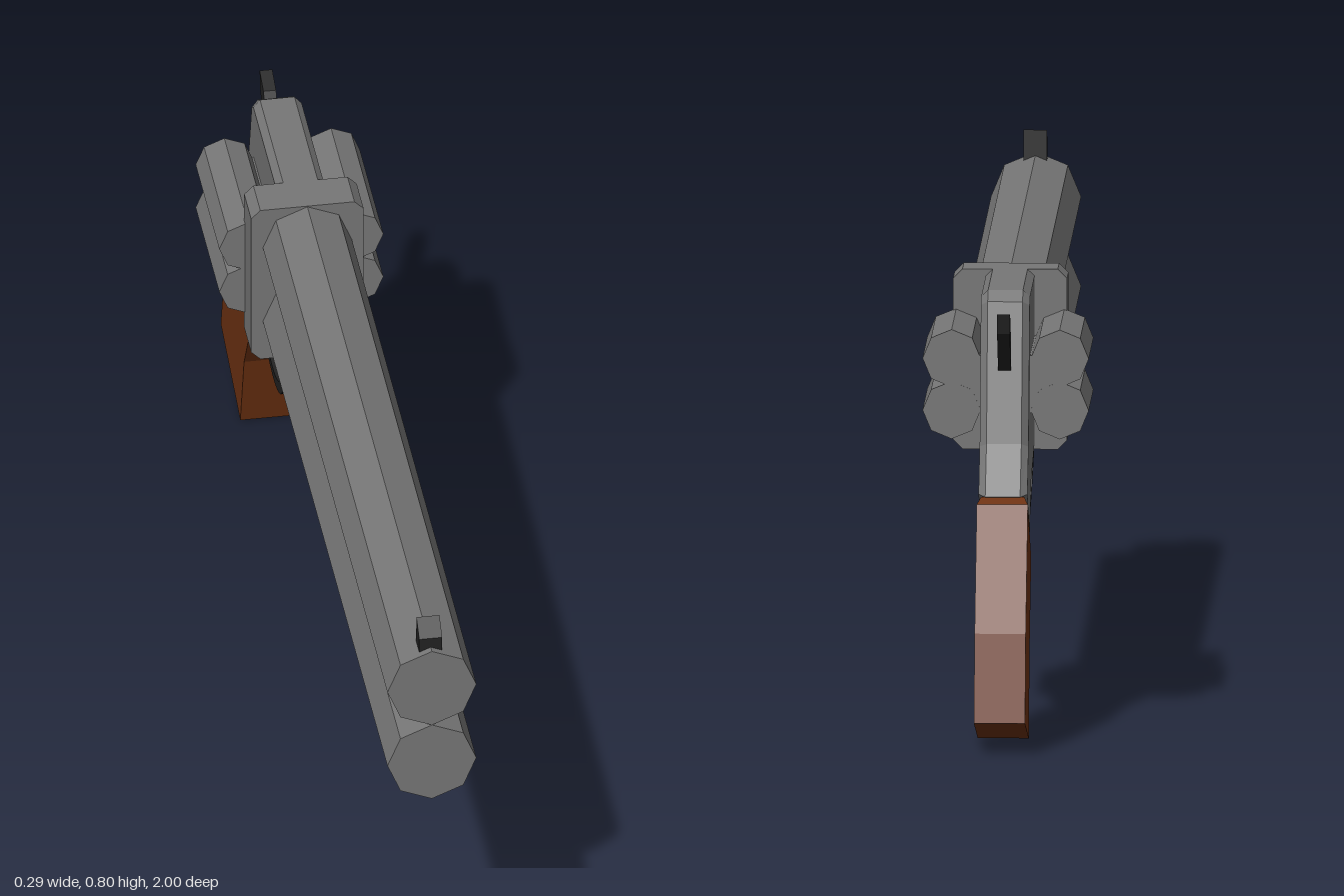
import * as THREE from 'three';

const mat = (color) => new THREE.MeshStandardMaterial({ color, flatShading: true });

export function createModel() {
  const model = new THREE.Group();
  const steel = mat(0x777777), dark = mat(0x222222), wood = mat(0x6e3212);

  const add = (name, geometry, material) => {
    const mesh = new THREE.Mesh(geometry, material);
    mesh.name = name;
    model.add(mesh);
    return mesh;
  };

  const shapeOf = (points) => new THREE.Shape(points.map(([a, b]) => new THREE.Vector2(a, b)));

  // Side profile given as [z, y], extruded across x and centred
  const sidePlate = (points, width, bevel = 0) => {
    const g = new THREE.ExtrudeGeometry(shapeOf(points), {
      depth: width - 2 * bevel, bevelEnabled: bevel > 0, bevelSegments: 1,
      bevelSize: bevel, bevelThickness: bevel, bevelOffset: -bevel,
    });
    g.translate(0, 0, -(width - 2 * bevel) / 2);
    return g.rotateY(-Math.PI / 2);
  };

  // Eight-sided bar along z with a corner pointing up
  const bar = (name, x, y, radius, zBack, zFront) => {
    const g = new THREE.CylinderGeometry(radius, radius, zFront - zBack, 8);
    g.rotateX(Math.PI / 2);
    add(name, g, steel).position.set(x, y, (zBack + zFront) / 2);
  };

  // Stacked barrels
  bar('upperBarrel', 0, 0.686, 0.0775, -0.36, 1);
  bar('lowerBarrel', 0, 0.531, 0.0775, -0.36, 1);

  // Chambers showing on both sides of the frame
  for (const side of [-1, 1]) {
    for (const y of [0.645, 0.555]) bar('chamber', side * 0.093, y, 0.05, -0.66, -0.405);
  }
  // Drum core behind the chambers
  const core = new THREE.BoxGeometry(0.18, 0.1, 0.25);
  add('drumCore', core, steel).position.set(0, 0.6, -0.534);

  // Block joining the barrels and the frame, with cut corners
  const w = 0.098, lo = 0.452, hi = 0.765, c = 0.016;
  const block = new THREE.ExtrudeGeometry(shapeOf([
    [-w + c, lo], [w - c, lo], [w, lo + c], [w, hi - c],
    [w - c, hi], [-w + c, hi], [-w, hi - c], [-w, lo + c],
  ]), { depth: 0.075, bevelEnabled: false });
  add('barrelBlock', block, steel).position.z = -0.415;

  // Frame running back and down into the grip
  add('frame', sidePlate([
    [-0.35, 0.765], [-0.665, 0.765], [-0.69, 0.748], [-0.755, 0.51],
    [-0.825, 0.428], [-0.668, 0.33], [-0.605, 0.412], [-0.41, 0.453], [-0.35, 0.453],
  ], 0.084, 0.012), steel);

  // Grip lofted through four sections: front z, front y, back z, back y, half width
  const sections = [
    [-0.668, 0.33, -0.822, 0.428, 0.037],
    [-0.663, 0.3, -0.845, 0.418, 0.044],
    [-0.75, 0.155, -0.96, 0.21, 0.044],
    [-0.79, 0.004, -1, 0.06, 0.044],
  ];
  const pos = [], index = [];
  for (const [fz, fy, bz, by, h] of sections) {
    pos.push(-h, fy, fz, h, fy, fz, h, by, bz, -h, by, bz);
  }
  for (let s = 0; s < sections.length - 1; s++) {
    for (let k = 0; k < 4; k++) {
      const a = s * 4 + k, b = s * 4 + (k + 1) % 4;
      index.push(a, a + 4, b, b, a + 4, b + 4);
    }
  }
  const e = (sections.length - 1) * 4;
  index.push(0, 1, 2, 0, 2, 3, e, e + 2, e + 1, e, e + 3, e + 2);
  const grip = new THREE.BufferGeometry();
  grip.setAttribute('position', new THREE.Float32BufferAttribute(pos, 3));
  grip.setIndex(index);
  grip.computeVertexNormals();
  add('grip', grip, wood);

  // Trigger guard: a strip bent into an arc, narrowing toward the bottom
  const arc = [];
  const cz = -0.515, cy = 0.44, n = 18;
  const from = -Math.PI + 0.4, to = 0.15;
  for (const [radius, flip] of [[0.156, false], [0.134, true]]) {
    for (let i = 0; i <= n; i++) {
      const t = flip ? n - i : i;
      const angle = from + (to - from) * t / n;
      arc.push([cz + radius * Math.cos(angle), cy + radius * Math.sin(angle)]);
    }
  }
  const guard = sidePlate(arc, 2);
  const p = guard.attributes.position;
  for (let i = 0; i < p.count; i++) {
    const drop = THREE.MathUtils.clamp((0.45 - p.getY(i)) / 0.17, 0, 1);
    p.setX(i, p.getX(i) * (0.04 - 0.009 * drop));
  }
  guard.computeVertexNormals();
  add('triggerGuard', guard, dark);

  // Trigger, hammer and front sight
  add('trigger', sidePlate([
    [-0.48, 0.335], [-0.518, 0.346], [-0.595, 0.425], [-0.53, 0.44],
  ], 0.026), dark);
  add('hammer', sidePlate([
    [-0.69, 0.66], [-0.715, 0.675], [-0.745, 0.725], [-0.786, 0.74],
    [-0.78, 0.705], [-0.725, 0.635], [-0.7, 0.62],
  ], 0.022), dark);
  add('frontSight', sidePlate([
    [0.987, 0.75], [0.987, 0.782], [0.957, 0.808], [0.952, 0.75],
  ], 0.04), dark);

  return model;
}
